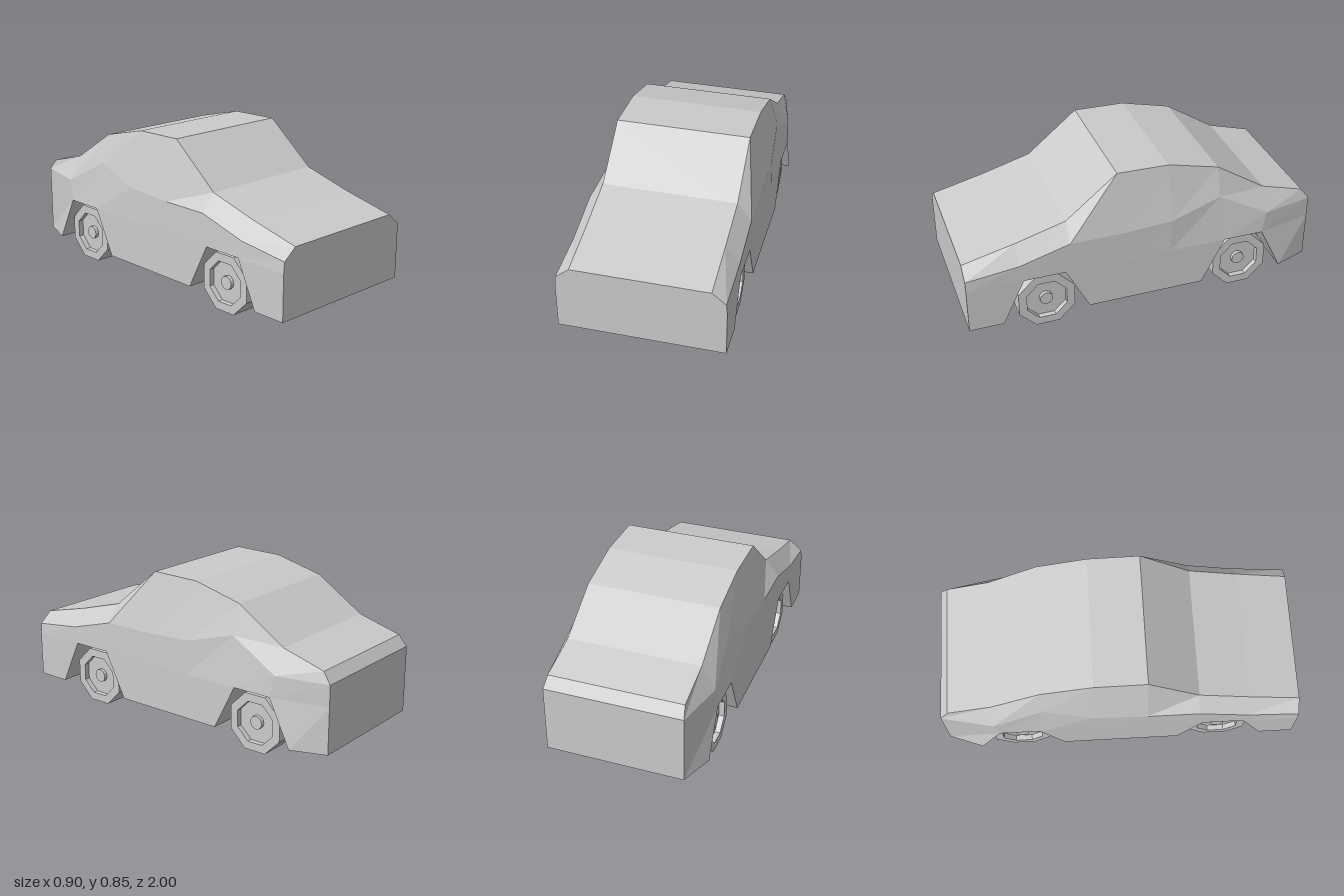
import * as THREE from 'three';

const BELLY = 0.085, BELT = 0.34, HALF = 0.45, TOP = 0.37, WELL = 0.22;

// Columns from nose to tail:
// [top z, top y, shoulder z, shoulder y, shoulder x, belt z, belly z, lower x]
const COLUMNS = [
  [1, 0.46, 1, 0.4, 0.445, 1, 1, HALF],
  [0.71, 0.53, 0.71, 0.435, 0.447, 0.69, 0.81, HALF],
  [0.43, 0.61, 0.43, 0.515, 0.448, 0.46, 0.33, HALF],
  [0.145, 0.845, 0.145, 0.515, 0.448, 0.15, 0.15, HALF],
  [-0.145, 0.84, -0.145, 0.53, 0.445, -0.14, -0.14, HALF],
  [-0.43, 0.77, -0.43, 0.61, 0.42, -0.46, -0.33, HALF],
  [-0.71, 0.59, -0.71, 0.46, 0.442, -0.685, -0.81, HALF],
  [-0.955, 0.52, -1, 0.46, 0.38, -1, -1, 0.38],
];
const ARCHES = [1, 5]; // columns where a wheel arch begins

function bodyGeometry() {
  const pos = [];
  const quad = (a, b, c, d) => pos.push(...a, ...b, ...c, ...a, ...c, ...d);
  const flip = ([x, y, z]) => [-x, y, z];
  // a quad on the left side and its mirror on the right
  const both = (a, b, c, d) => {
    quad(a, b, c, d);
    quad(flip(d), flip(c), flip(b), flip(a));
  };
  // a panel across the full width
  const span = (a, b) => quad(a, b, flip(b), flip(a));
  const inward = ([, y, z]) => [WELL, y, z];

  const cols = COLUMNS.map(([tz, ty, sz, sy, sx, bz, lz, lx]) => [
    [lx, BELLY, lz], [lx, BELT, bz], [sx, sy, sz], [TOP, ty, tz],
  ]);

  for (let i = 0; i < cols.length - 1; i++) {
    const a = cols[i], b = cols[i + 1];
    const arch = ARCHES.includes(i);
    // sides, window band and top
    for (let r = arch ? 1 : 0; r < 3; r++) both(a[r], b[r], b[r + 1], a[r + 1]);
    span(a[3], b[3]);
    // underside
    const ai = inward(a[0]), bi = inward(b[0]);
    span(bi, ai);
    if (!arch) {
      both(bi, b[0], a[0], ai);
    } else {
      // wheel arch: front wall, rear wall, ceiling, inner wall
      const at = inward(a[1]), bt = inward(b[1]);
      both(a[0], ai, at, a[1]);
      both(b[1], bt, bi, b[0]);
      both(bt, b[1], a[1], at);
      both(ai, bi, bt, at);
    }
  }
  // nose and tail panels
  const nose = cols[0], tail = cols[cols.length - 1];
  for (let r = 0; r < 3; r++) {
    span(nose[r], nose[r + 1]);
    span(tail[r + 1], tail[r]);
  }

  const geo = new THREE.BufferGeometry();
  geo.setAttribute('position', new THREE.Float32BufferAttribute(pos, 3));
  geo.computeVertexNormals();
  return geo;
}

export function createModel() {
  const model = new THREE.Group();
  model.name = 'car';
  const mat = new THREE.MeshStandardMaterial({ color: 0xcccccc, flatShading: true });
  const add = (parent, name, geo) => {
    const mesh = new THREE.Mesh(geo, mat);
    mesh.name = name;
    parent.add(mesh);
    return mesh;
  };

  add(model, 'body', bodyGeometry());

  // eight-sided tyre with a recessed rim
  const R = 0.17, w = 0.08, rim = 0.121, recess = 0.03;
  const profile = [[0, -w], [R, -w], [R, w], [rim, w], [rim, w - recess], [0, w - recess]]
    .map(([x, y]) => new THREE.Vector2(x, y));
  const tyreGeo = new THREE.LatheGeometry(profile, 8, Math.PI / 8);
  const hubGeo = new THREE.CylinderGeometry(0.037, 0.037, 0.02, 12);

  for (const [end, z] of [['front', 0.56], ['rear', -0.57]]) {
    for (const [side, s] of [['Left', 1], ['Right', -1]]) {
      const wheel = new THREE.Group();
      wheel.name = `${end}${side}Wheel`;
      add(wheel, 'tyre', tyreGeo);
      add(wheel, 'hubCap', hubGeo).position.y = w - recess + 0.01;
      wheel.rotation.z = -s * Math.PI / 2;
      wheel.position.set(s * 0.335, 0.157, z);
      model.add(wheel);
    }
  }
  return model;
}
